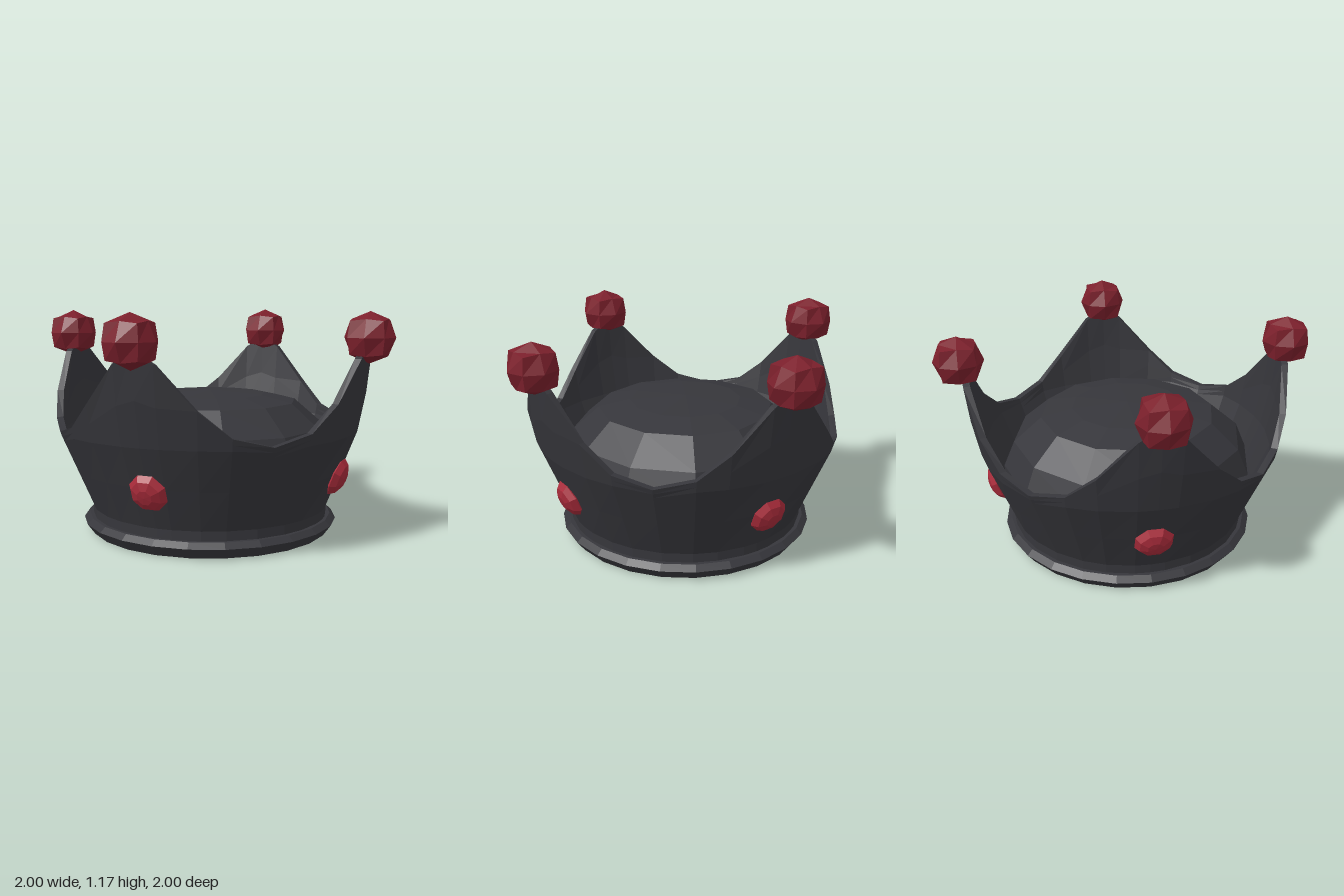
import * as THREE from 'three';

const metal = new THREE.MeshStandardMaterial({ color: 0x36363b, flatShading: true });
const darkRed = new THREE.MeshStandardMaterial({ color: 0x7c202c, flatShading: true });
const brightRed = new THREE.MeshStandardMaterial({ color: 0xa82b3a, flatShading: true });

function part(name, geometry, material) {
  const mesh = new THREE.Mesh(geometry, material);
  mesh.name = name;
  return mesh;
}

function lathe(points, segments, phase = 0) {
  return new THREE.LatheGeometry(points.map(p => new THREE.Vector2(...p)), segments, phase);
}

// Outer radius of the flaring wall at height y, bulging slightly between the points
const flare = [[0.08, 0.64], [0.13, 0.64], [0.55, 0.8], [0.78, 0.845], [1.02, 0.868]];
function wallRadius(y, a) {
  const k = flare.findIndex(([h]) => y <= h);
  const [y1, r1] = flare[k], [y0, r0] = flare[Math.max(k - 1, 0)];
  const base = k === 0 ? r1 : r0 + (r1 - r0) * (y - y0) / (y1 - y0);
  const rise = THREE.MathUtils.clamp((y - 0.13) / 0.42, 0, 1);
  return base + 0.02 * rise * Math.sin(2 * a) ** 2;
}

// Rim as [degrees from a peak, height] over half a point; mirrored and repeated four times
const rim = [[0, 1.0], [7, 0.94], [20, 0.735], [31, 0.608], [45, 0.56]];

function wallGeometry() {
  const columns = [];
  for (let q = 0; q < 4; q++) {
    rim.forEach(([a, h]) => columns.push([q * 90 + a, h]));
    rim.slice(1, -1).reverse().forEach(([a, h]) => columns.push([q * 90 + 90 - a, h]));
  }
  const thickness = 0.035;
  const positions = [], index = [];
  let n = 0;
  for (const [deg, top] of columns) {
    const a = THREE.MathUtils.degToRad(deg);
    const kink = Math.min(0.55, top - 0.05);
    const rows = [0.08, 0.13, 0.34, kink, (kink + top) / 2, top];
    const section = [
      ...rows.map(y => [wallRadius(y, a), y]),
      ...rows.reverse().map(y => [wallRadius(y, a) - thickness, y]),
    ];
    n = section.length;
    section.forEach(([r, y]) => positions.push(r * Math.sin(a), y, r * Math.cos(a)));
  }
  const count = columns.length;
  for (let i = 0; i < count; i++) {
    for (let j = 0; j < n; j++) {
      const i2 = (i + 1) % count, j2 = (j + 1) % n;
      const a = i * n + j, b = i2 * n + j, c = i2 * n + j2, d = i * n + j2;
      index.push(a, b, c, a, c, d);
    }
  }
  const g = new THREE.BufferGeometry();
  g.setAttribute('position', new THREE.Float32BufferAttribute(positions, 3));
  g.setIndex(index);
  g.computeVertexNormals();
  return g;
}

// Box with two divisions per side, rounded out to a ball with slightly prominent corners
function ballGeometry(radius, cornerRadius) {
  const g = new THREE.BoxGeometry(1, 1, 1, 2, 2, 2);
  const p = g.attributes.position, v = new THREE.Vector3();
  for (let i = 0; i < p.count; i++) {
    v.fromBufferAttribute(p, i);
    v.setLength(v.length() > 0.8 ? cornerRadius : radius);
    p.setXYZ(i, v.x, v.y, v.z);
  }
  g.computeVertexNormals();
  return g;
}

export function createModel() {
  const crown = new THREE.Group();
  crown.name = 'crown';

  // Flared wall with four points
  crown.add(part('wall', wallGeometry(), metal));

  // Bevelled ring around the foot
  crown.add(part('baseRing', lathe(
    [[0.6, 0], [0.65, 0], [0.69, 0.055], [0.66, 0.082], [0.605, 0.082], [0.6, 0]], 24), metal));

  // Low domed lining inside the wall, flat underneath
  crown.add(part('innerCap', lathe(
    [[0, 0.25], [0.677, 0.25], [0.68, 0.42], [0.62, 0.56], [0.47, 0.69], [0.3, 0.727], [0, 0.745]], 12), metal));

  // A ball on each point and a tilted oval stone below it
  const ball = ballGeometry(0.13, 0.143);
  const stone = lathe([[0, -0.02], [0.08, -0.02], [0.103, 0.005], [0.08, 0.035], [0.04, 0.052], [0, 0.055]], 8, Math.PI / 8);
  stone.rotateX(Math.PI / 2 + 0.36);
  for (let q = 0; q < 4; q++) {
    const point = new THREE.Group();
    point.name = 'pointJewels' + (q + 1);
    const tip = part('tipBall', ball, darkRed);
    tip.position.set(0, 1.042, 0.87);
    const gem = part('wallStone', stone, brightRed);
    gem.position.set(0, 0.325, 0.712);
    point.add(tip, gem);
    point.rotation.y = q * Math.PI / 2;
    crown.add(point);
  }
  return crown;
}
